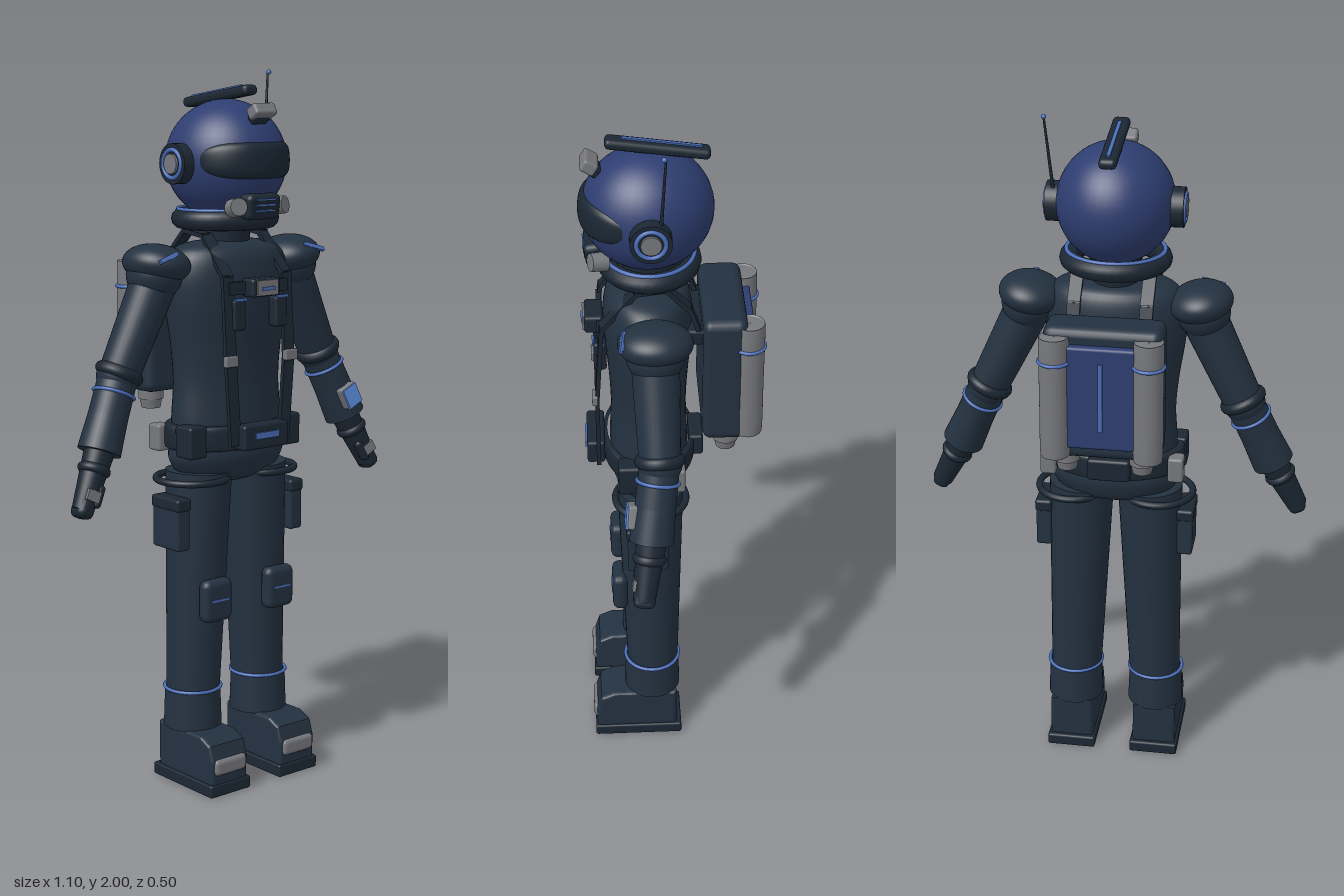
import * as THREE from 'three';
import { RoundedBoxGeometry } from 'three/addons/geometries/RoundedBoxGeometry.js';
import { ParametricGeometry } from 'three/addons/geometries/ParametricGeometry.js';

const paint = (name, color) => {
  const m = new THREE.MeshStandardMaterial({ color });
  m.name = name;
  return m;
};

export function createModel() {
  const suit = paint('suit navy', 0x233140);
  const trim = paint('dark trim', 0x1c2733);
  const shell = paint('helmet blue', 0x2d3d70);
  const glass = paint('visor glass', 0x1a2632);
  glass.side = THREE.DoubleSide;
  const metal = paint('grey metal', 0x77787d);
  const glow = paint('accent blue', 0x4a6db8);
  const screenBlue = paint('screen blue', 0x5e8fe0);

  const model = new THREE.Group();
  model.name = 'spaceSuit';
  const V = (x, y, z) => new THREE.Vector3(x, y, z);
  const UP = V(0, 1, 0);

  function add(name, geo, mat, p, r = [0, 0, 0], s = [1, 1, 1]) {
    const m = new THREE.Mesh(geo, mat);
    m.name = name;
    m.position.set(...p);
    m.rotation.set(...r);
    m.scale.set(...s);
    model.add(m);
    return m;
  }
  const box = (name, mat, size, p, r, rad = 0.008) =>
    add(name, new RoundedBoxGeometry(...size, 2, Math.min(rad, Math.min(...size) * 0.45)), mat, p, r);
  const plate = (name, mat, size, p, r) => add(name, new THREE.BoxGeometry(...size), mat, p, r);
  const ball = (name, mat, radii, p, r) => add(name, new THREE.SphereGeometry(1, 40, 28), mat, p, r, radii);
  const cyl = (name, mat, rt, rb, h, p, r) => add(name, new THREE.CylinderGeometry(rt, rb, h, 32), mat, p, r);
  const ring = (name, mat, R, t, p, r = [Math.PI / 2, 0, 0], s) =>
    add(name, new THREE.TorusGeometry(R, t, 12, 40), mat, p, r, s);
  const lathe = (name, mat, pts, p, s) =>
    add(name, new THREE.LatheGeometry(new THREE.SplineCurve(pts.map(q => new THREE.Vector2(...q))).getPoints(40), 40), mat, p, [0, 0, 0], s);
  // Aligns a mesh's y axis with the line from a to b
  const aim = (m, a, b) => m.quaternion.setFromUnitVectors(UP, b.clone().sub(a).normalize());
  function limb(name, mat, a, b, ra, rb) {
    const m = cyl(name, mat, rb, ra, a.distanceTo(b), a.clone().lerp(b, 0.5).toArray());
    aim(m, a, b);
    return m;
  }
  function band(name, mat, a, b, t, R, tube) {
    const g = new THREE.TorusGeometry(R, tube, 12, 36).rotateX(Math.PI / 2);
    aim(add(name, g, mat, a.clone().lerp(b, t).toArray()), a, b);
  }
  const Z = 0.065;

  // Helmet, visor and crest
  const hc = [0, 1.755, 0.062], hr = [0.163, 0.166, 0.175];
  ball('helmet', shell, hr, hc);
  add('visor', new ParametricGeometry((u, v, out) => {
    const a = u * 2 - 1, b = v * 2 - 1;
    const phi = a * 1.2, th = 0.03 + b * 0.31 * Math.sqrt(Math.max(0.0004, 1 - a ** 4));
    const k = 0.985 + 0.065 * (1 - a ** 6) * (1 - b ** 6);
    out.set(k * hr[0] * Math.sin(phi) * Math.cos(th), k * hr[1] * Math.sin(th), k * hr[2] * Math.cos(phi) * Math.cos(th));
  }, 40, 16), glass, hc);
  box('crest', trim, [0.048, 0.028, 0.275], [0, 1.928, 0.035], [-0.14, 0, 0], 0.012);
  plate('crestStripe', glow, [0.01, 0.006, 0.21], [0, 1.942, 0.024], [-0.14, 0, 0]);
  box('lampMount', trim, [0.055, 0.03, 0.03], [0, 1.872, 0.2], [-0.6, 0, 0]);
  box('headLamp', metal, [0.075, 0.035, 0.042], [0, 1.889, 0.212], [-0.55, 0, 0]);

  // Breathing mask
  box('mask', trim, [0.115, 0.07, 0.07], [0, 1.638, 0.195], [0.15, 0, 0], 0.015);
  for (let i = 0; i < 3; i++) plate('maskSlit', glow, [0.068, 0.005, 0.006], [0, 1.655 - i * 0.015, 0.233 - i * 0.002]);

  // Antenna
  limb('antenna', trim, V(0.165, 1.77, 0.035), V(0.187, 1.99, 0.022), 0.005, 0.003);
  ball('antennaTip', glow, [0.007, 0.007, 0.007], [0.188, 1.993, 0.026]);

  // Collar and neck
  ring('collar', trim, 0.128, 0.028, [0, 1.597, 0.06], [Math.PI / 2, 0, 0], [1, 0.9, 1]);
  ring('collarGlow', glow, 0.136, 0.006, [0, 1.623, 0.06], [Math.PI / 2, 0, 0], [1, 0.9, 1]);
  cyl('neck', trim, 0.075, 0.065, 0.13, [0, 1.565, 0.06]);

  // Torso and pelvis
  lathe('torso', suit, [[0.18, 0.95], [0.178, 1.05], [0.172, 1.15], [0.18, 1.25], [0.197, 1.37],
    [0.197, 1.46], [0.165, 1.52], [0.08, 1.538], [0.001, 1.54]], [0, 0, Z], [1, 1, 0.61]);
  lathe('pelvis', suit, [[0.001, 0.855], [0.06, 0.86], [0.15, 0.885], [0.187, 0.93], [0.188, 0.97], [0.182, 1.02]], [0, 0, Z], [1, 1, 0.58]);

  // Belt
  lathe('belt', trim, [[0.18, 0.965], [0.196, 0.97], [0.199, 1.0], [0.196, 1.03], [0.178, 1.036]], [0, 0, Z], [1, 1, 0.66]);
  box('buckle', trim, [0.16, 0.07, 0.05], [0, 1.008, 0.215]);
  plate('buckleLight', glow, [0.085, 0.018, 0.008], [0, 1.012, 0.241]);
  box('rearPouch', trim, [0.12, 0.065, 0.04], [0, 1.008, -0.067]);

  // Chest unit
  plate('chestStrap', trim, [0.21, 0.035, 0.015], [0, 1.418, 0.197]);
  box('chestBox', trim, [0.1, 0.05, 0.05], [0, 1.418, 0.212]);
  plate('chestPanel', metal, [0.074, 0.042, 0.009], [0, 1.418, 0.238]);
  plate('chestLight', glow, [0.044, 0.01, 0.004], [0, 1.416, 0.244]);

  // Backpack
  box('backpack', suit, [0.325, 0.385, 0.12], [0, 1.293, -0.138], [0, 0, 0], 0.025);
  box('packPanel', shell, [0.2, 0.3, 0.03], [0, 1.293, -0.205]);
  plate('packStripe', glow, [0.012, 0.2, 0.008], [0, 1.3, -0.222]);
  box('packBracket', trim, [0.24, 0.045, 0.06], [0, 1.415, -0.06]);

  // Everything that comes in a left and right pair
  for (const s of [1, -1]) {
    const P = (x, y, z) => V(x * s, y, z);

    // Earpiece
    const side = [0, 0, Math.PI / 2];
    cyl('earCup', trim, 0.055, 0.055, 0.04, [s * 0.168, 1.75, 0.06], side);
    ring('earRing', glow, 0.038, 0.006, [s * 0.188, 1.75, 0.06], [0, Math.PI / 2, 0]);
    cyl('earDisc', metal, 0.027, 0.027, 0.014, [s * 0.188, 1.75, 0.06], side);
    cyl('maskFilter', metal, 0.024, 0.026, 0.045, [s * 0.075, 1.635, 0.195], [Math.PI / 2 - 0.15, 0, -s * 0.35]);

    // Harness strap running from the pack over the shoulder to the belt
    const path = [[0.1, 1.4, -0.08], [0.1, 1.5, -0.045], [0.1, 1.565, 0.02], [0.1, 1.555, 0.1],
      [0.105, 1.45, 0.192], [0.105, 1.22, 0.208], [0.088, 0.99, 0.208]].map(q => P(...q));
    for (let i = 0; i + 1 < path.length; i++) {
      const [a, b] = [path[i], path[i + 1]];
      const m = plate('harnessStrap', trim, [0.036, a.distanceTo(b) + 0.008, 0.012], a.clone().lerp(b, 0.5).toArray());
      aim(m, a, b);
    }
    box('strapBuckle', metal, [0.044, 0.03, 0.016], [s * 0.108, 1.222, 0.214], [0, 0, 0], 0.004);
    box('chestPouch', trim, [0.042, 0.085, 0.035], [s * 0.075, 1.345, 0.197]);
    plate('pouchLight', glow, [0.042, 0.008, 0.006], [s * 0.075, 1.388, 0.215]);

    // Belt pouches
    box('hipPouch', trim, [0.06, 0.09, 0.07], [s * 0.172, 0.995, 0.12]);
    box('hipBox', metal, [0.045, 0.075, 0.05], [s * 0.183, 0.993, -0.005]);

    // Air tank and nozzle
    const tx = s * 0.128, tz = -0.203;
    lathe('airTank', metal, [[0.001, 1.115], [0.034, 1.118], [0.041, 1.13], [0.041, 1.28], [0.041, 1.45], [0.034, 1.463], [0.001, 1.465]], [tx, 0, tz]);
    ring('tankBand', glow, 0.042, 0.005, [tx, 1.395, tz]);
    cyl('nozzleNeck', metal, 0.036, 0.036, 0.03, [s * 0.105, 1.09, -0.145]);
    cyl('nozzle', metal, 0.034, 0.027, 0.035, [s * 0.105, 1.066, -0.145]);

    // Arm
    const S = P(0.225, 1.48, 0.055), E = P(0.365, 1.19, 0.048), W = P(0.452, 0.995, 0.075), H = P(0.525, 0.85, 0.098);
    ball('shoulderPad', suit, [0.09, 0.055, 0.1], [s * 0.237, 1.483, 0.053], [0, 0, s * -0.25 + s * 0.4]);
    ball('shoulderCap', suit, [0.075, 0.075, 0.08], [s * 0.245, 1.455, 0.053]);
    plate('shoulderStripe', glow, [0.068, 0.012, 0.009], [s * 0.262, 1.507, 0.139], [-0.5, 0, -s * 0.3]);
    limb('upperArm', suit, S, E, 0.066, 0.056);
    ball('elbow', suit, [0.06, 0.06, 0.06], E.toArray());
    band('elbowBand', trim, S, E, 0.98, 0.05, 0.018);
    limb('forearm', suit, E, W, 0.054, 0.056);
    band('forearmGlow', glow, E, W, 0.24, 0.056, 0.005);
    limb('forearmGuard', suit, E.clone().lerp(W, 0.26), W, 0.052, 0.06);
    limb('wrist', trim, W, H, 0.042, 0.03);
    band('wristCuff', trim, W, H, 0.3, 0.032, 0.014);
    const hand = box('hand', trim, [0.05, 0.115, 0.06], W.clone().lerp(H, 0.78).toArray(), [0, 0, 0], 0.018);
    aim(hand, H, W);
    const thumb = box('thumb', trim, [0.024, 0.065, 0.026], [s * 0.485, 0.885, 0.115], [0, 0, 0], 0.011);
    aim(thumb, H, W);
    const knuckles = plate('knucklePlate', metal, [0.04, 0.03, 0.009], [s * 0.508, 0.892, 0.124]);
    aim(knuckles, H, W);

    // Leg
    const hip = P(0.1, 0.9, Z), ankle = P(0.122, 0.2, 0.063);
    limb('leg', suit, ankle, hip, 0.074, 0.094);
    ring('thighStrap', trim, 0.1, 0.01, [s * 0.125, 0.88, Z]);
    box('thighPouch', suit, [0.045, 0.145, 0.115], [s * 0.208, 0.765, 0.077]);
    box('thighFlap', trim, [0.05, 0.035, 0.121], [s * 0.208, 0.822, 0.077]);
    box('kneePad', suit, [0.1, 0.122, 0.045], [s * 0.115, 0.543, 0.157], [0, 0, 0], 0.02);
    plate('kneeLight', glow, [0.062, 0.006, 0.006], [s * 0.115, 0.547, 0.179]);
    cyl('bootShaft', suit, 0.079, 0.083, 0.115, [s * 0.123, 0.218, 0.065]);
    ring('bootGlow', glow, 0.08, 0.005, [s * 0.123, 0.274, 0.065]);

    // Boot, extruded across its width from a side outline
    const outline = new THREE.Shape([[0.004, 0.035], [0.226, 0.035], [0.226, 0.1], [0.214, 0.138], [0.18, 0.154], [0.004, 0.154]]
      .map(q => new THREE.Vector2(...q)));
    const boot = new THREE.ExtrudeGeometry(outline, { depth: 0.11, bevelSize: 0.01, bevelThickness: 0.01, bevelSegments: 3 });
    boot.translate(0, 0, -0.055).rotateY(-Math.PI / 2);
    add('boot', boot, suit, [s * 0.127, 0, 0]);
    box('sole', trim, [0.145, 0.036, 0.262], [s * 0.127, 0.018, 0.11], [0, 0, 0], 0.006);
    box('toeCap', metal, [0.115, 0.048, 0.035], [s * 0.127, 0.084, 0.228], [0, 0, 0], 0.014);
  }

  // Wrist computer on the left forearm
  const tilt = [-0.1, 0, 0.42];
  box('wristComputer', metal, [0.06, 0.066, 0.03], [0.422, 1.06, 0.123], tilt);
  plate('wristScreen', screenBlue, [0.054, 0.06, 0.008], [0.422, 1.06, 0.138], tilt);

  return model;
}
